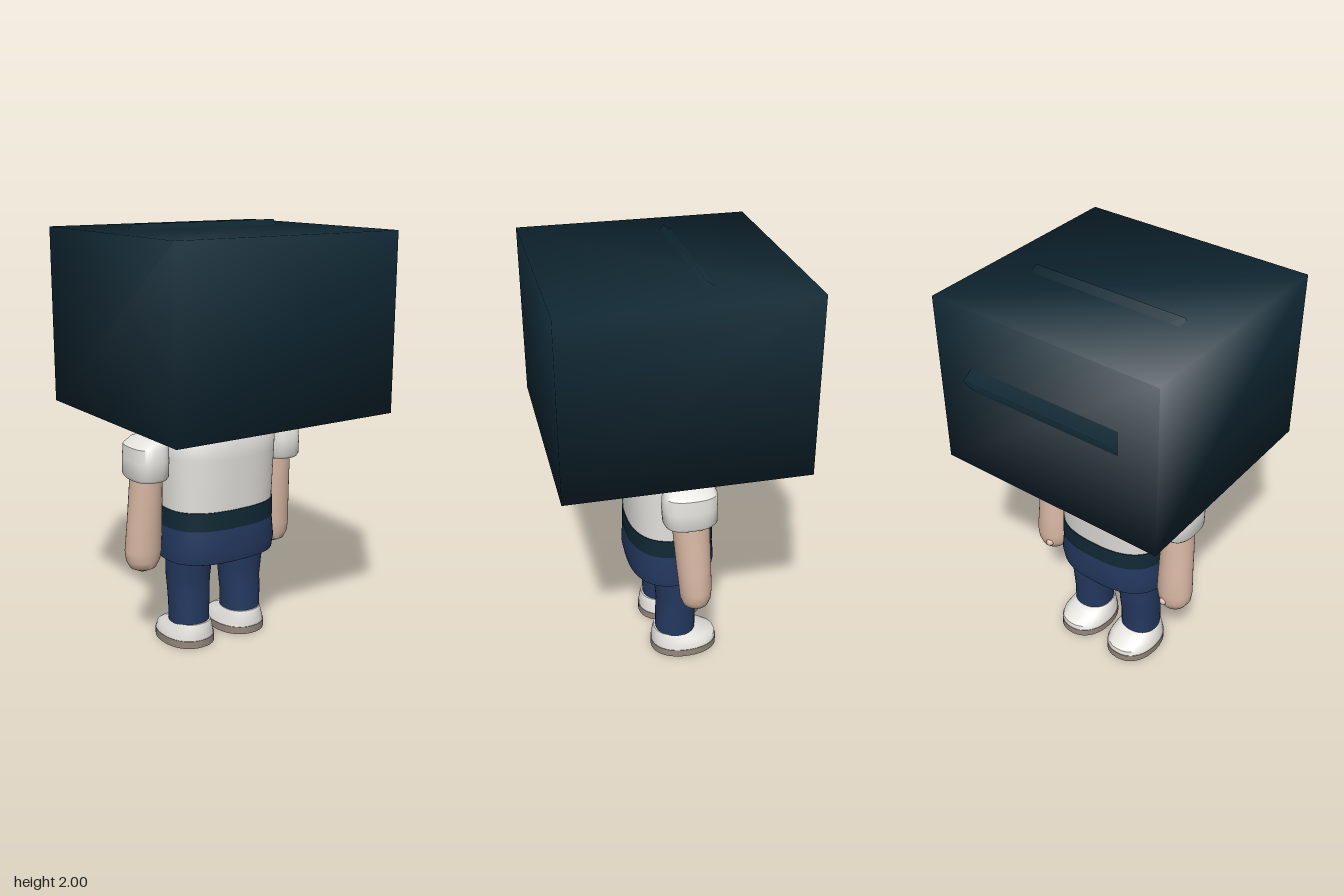
import * as THREE from 'three';
import { mergeVertices, toCreasedNormals } from 'three/addons/utils/BufferGeometryUtils.js';

const mat = (name, color, side = THREE.FrontSide) => {
  const m = new THREE.MeshStandardMaterial({ color, side });
  m.name = name;
  return m;
};

// Closed loft through rings [y, xMin, xMax, zMin, zMax]; n sets how square each ring is.
function loft(rings, n = 2, seg = 36, crease = 0.75) {
  const pos = [], idx = [];
  const sp = (v) => Math.sign(v) * Math.pow(Math.abs(v), 2 / n);
  for (const [y, x0, x1, z0, z1] of rings) {
    for (let i = 0; i < seg; i++) {
      const t = (i / seg) * Math.PI * 2;
      pos.push((x0 + x1) / 2 + sp(Math.cos(t)) * (x1 - x0) / 2, y,
        (z0 + z1) / 2 + sp(Math.sin(t)) * (z1 - z0) / 2);
    }
  }
  for (let j = 0; j < rings.length - 1; j++) {
    for (let i = 0; i < seg; i++) {
      const k = (i + 1) % seg;
      const a = j * seg + i, b = j * seg + k, c = a + seg, d = b + seg;
      idx.push(a, c, b, b, c, d);
    }
  }
  // end caps
  const last = (rings.length - 1) * seg, base = rings.length * seg;
  for (const r of [rings[0], rings[rings.length - 1]]) {
    pos.push((r[1] + r[2]) / 2, r[0], (r[3] + r[4]) / 2);
  }
  for (let i = 0; i < seg; i++) {
    const k = (i + 1) % seg;
    idx.push(base, i, k, base + 1, last + k, last + i);
  }
  const g = new THREE.BufferGeometry();
  g.setAttribute('position', new THREE.Float32BufferAttribute(pos, 3));
  g.setIndex(idx);
  return toCreasedNormals(g, crease);
}

// Box whose corners share one averaged normal.
function softBox(w, h, d) {
  let g = new THREE.BoxGeometry(w, h, d);
  g.deleteAttribute('normal');
  g.deleteAttribute('uv');
  g = mergeVertices(g);
  g.computeVertexNormals();
  return g;
}

export function createModel() {
  const model = new THREE.Group();
  model.name = 'figure';
  const teal = mat('darkTeal', 0x102935);
  const white = mat('shirtWhite', 0xe6e4df);
  const skin = mat('skin', 0xdab9a5);
  const navy = mat('trouserNavy', 0x243960);
  const sole = mat('soleBrown', 0x95877c);

  const add = (name, geo, m, parent = model) => {
    const mesh = new THREE.Mesh(geo, m);
    mesh.name = name;
    parent.add(mesh);
    return mesh;
  };

  // head block with a tilted slab whose edges poke out of the top and the -z face
  add('headBlock', softBox(1.15, 0.82, 1.095), teal).position.set(0, 1.565, 0.0275);
  const slab = add('headSlab', softBox(0.77, 0.3, 0.6), teal);
  const tilt = Math.atan2(0.34, 0.495);
  slab.rotation.x = -tilt;
  slab.position.set(0, 1.83 - 0.15 * Math.cos(tilt), -0.3275 + 0.15 * Math.sin(tilt));

  // neck and torso
  add('neck', loft([[1.05, -0.18, 0.18, -0.19, 0.14], [1.12, -0.18, 0.18, -0.19, 0.14],
    [1.17, -0.19, 0.19, -0.2, 0.15]]), skin);
  add('shirt', loft([
    [0.69, -0.278, 0.278, -0.208, 0.198],
    [0.8, -0.282, 0.282, -0.22, 0.205],
    [0.95, -0.288, 0.288, -0.238, 0.215],
    [1.04, -0.29, 0.29, -0.25, 0.22],
    [1.06, -0.275, 0.275, -0.24, 0.21],
    [1.11, -0.18, 0.18, -0.19, 0.15],
  ], 2.5, 48), white);
  add('belt', loft([[0.61, -0.284, 0.284, -0.215, 0.203], [0.7, -0.282, 0.282, -0.213, 0.203]],
    2.5, 48), teal);
  add('hips', loft([
    [0.445, -0.284, 0.284, -0.208, 0.198],
    [0.5, -0.29, 0.29, -0.22, 0.209],
    [0.62, -0.28, 0.28, -0.21, 0.2],
  ], 2.5, 48), navy);
  add('hipUnderside', loft([[0.441, -0.275, 0.275, -0.2, 0.19], [0.446, -0.275, 0.275, -0.2, 0.19]],
    2.5, 48), teal);

  // collar flaps and button on the -z side
  for (const s of [1, -1]) {
    const flap = add('collarFlap', new THREE.BoxGeometry(0.13, 0.012, 0.06), white);
    flap.position.set(s * 0.075, 1.088, -0.205);
    flap.rotation.set(-0.75, s * 0.25, 0);
  }
  const button = add('collarButton', new THREE.SphereGeometry(0.012, 12, 8), white);
  button.position.set(0, 1.045, -0.25);

  // mirrored limbs
  for (const s of [1, -1]) {
    const side = s > 0 ? 'left' : 'right';
    const limb = (name, rings, m, n, seg) => add(side + name, loft(rings.map(
      ([y, a, b, z0, z1]) => [y, s > 0 ? a : -b, s > 0 ? b : -a, z0, z1]), n, seg), m);

    limb('Sleeve', [
      [0.86, 0.295, 0.455, -0.135, 0.09],
      [0.875, 0.285, 0.464, -0.148, 0.1],
      [0.95, 0.284, 0.463, -0.148, 0.105],
      [1.015, 0.284, 0.458, -0.145, 0.1],
      [1.042, 0.284, 0.42, -0.13, 0.085],
      [1.056, 0.29, 0.38, -0.09, 0.05],
    ], white, 2.6);
    limb('Arm', [
      [0.395, 0.365, 0.4, -0.08, -0.035],
      [0.415, 0.315, 0.44, -0.115, 0.005],
      [0.45, 0.294, 0.46, -0.126, 0.018],
      [0.5, 0.285, 0.466, -0.13, 0.022],
      [0.62, 0.288, 0.456, -0.126, 0.035],
      [0.88, 0.296, 0.44, -0.115, 0.06],
    ], skin);
    const thumb = add(side + 'Thumb', new THREE.SphereGeometry(0.02, 14, 10), skin);
    thumb.position.set(s * 0.355, 0.45, -0.118);

    limb('Leg', [
      [0.09, 0.055, 0.245, -0.11, 0.086],
      [0.2, 0.053, 0.248, -0.11, 0.085],
      [0.28, 0.048, 0.25, -0.118, 0.081],
      [0.34, 0.045, 0.255, -0.123, 0.086],
      [0.47, 0.036, 0.262, -0.12, 0.104],
    ], navy, 2.2);
    limb('Shoe', [
      [0.036, 0.022, 0.275, -0.218, 0.107],
      [0.06, 0.028, 0.27, -0.214, 0.106],
      [0.08, 0.036, 0.26, -0.18, 0.103],
      [0.1, 0.045, 0.25, -0.135, 0.099],
      [0.115, 0.052, 0.242, -0.11, 0.094],
    ], white, 2.2);
    limb('Sole', [[0, 0.02, 0.277, -0.22, 0.11], [0.037, 0.02, 0.277, -0.22, 0.11]], sole, 2.2);
  }
  return model;
}
